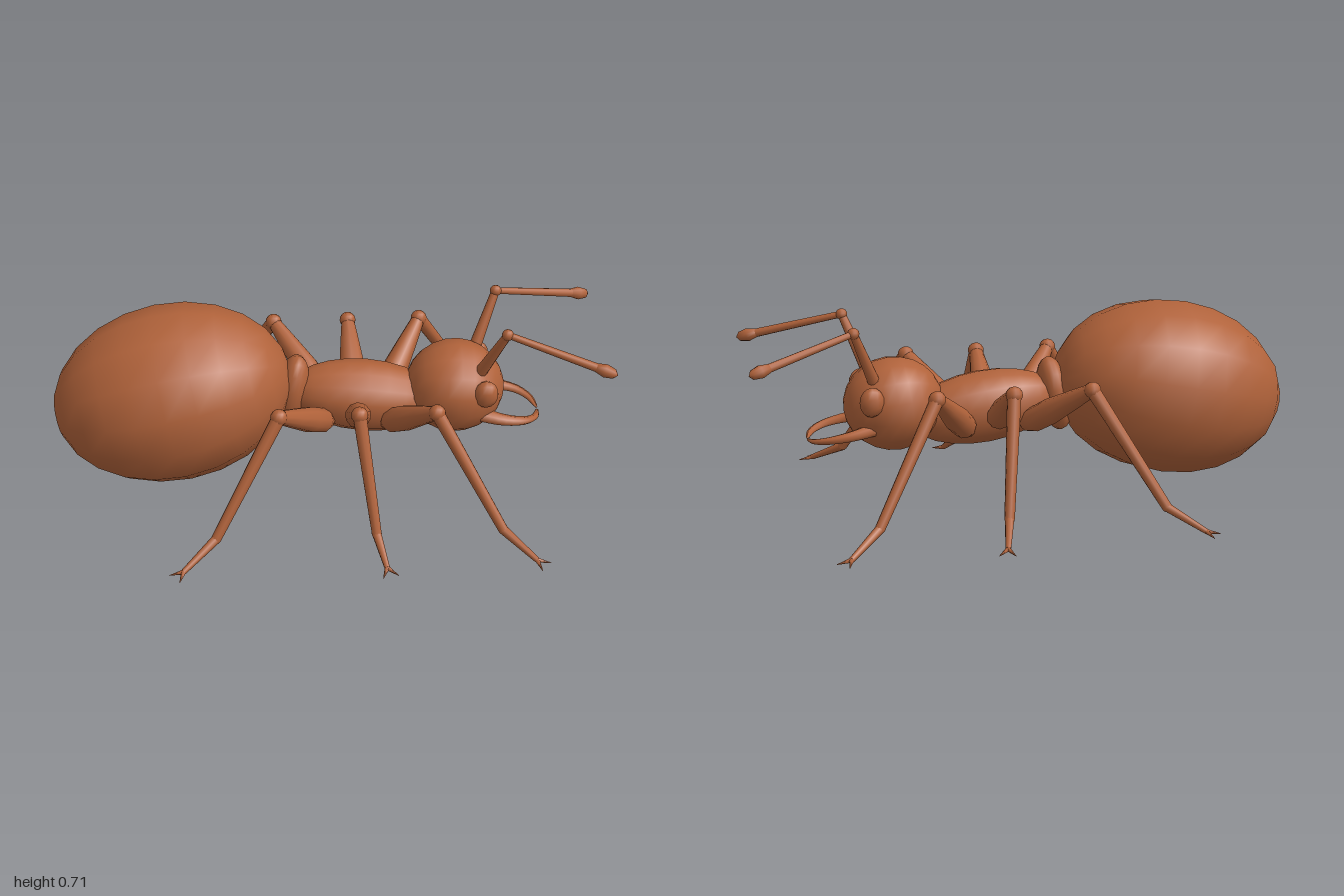
import * as THREE from 'three';

const brown = new THREE.MeshStandardMaterial({ color: 0xb0623a });
brown.name = 'chestnut brown';
const V = (x, y, z) => new THREE.Vector3(x, y, z);
const UP = V(0, 1, 0);

function add(parent, name, geometry) {
  const mesh = new THREE.Mesh(geometry, brown);
  mesh.name = name;
  parent.add(mesh);
  return mesh;
}

// Ellipsoid whose poles lie along x, pitched around z
function ellipsoid(parent, name, center, radii, pitch = 0, seg = 14, rows = 12) {
  const g = new THREE.SphereGeometry(1, seg, rows);
  g.rotateZ(-Math.PI / 2).scale(...radii).rotateZ(pitch);
  add(parent, name, g).position.copy(center);
}

// Tapered rod from a to b
function rod(parent, name, a, b, ra, rb, seg = 10) {
  const d = b.clone().sub(a);
  const m = add(parent, name, new THREE.CylinderGeometry(rb, ra, d.length(), seg));
  m.position.copy(a).addScaledVector(d, 0.5);
  m.quaternion.setFromUnitVectors(UP, d.normalize());
}

// Round profile along a line: pairs of [fraction of length, radius]
function bulb(parent, name, a, b, profile, seg = 10) {
  const d = b.clone().sub(a), len = d.length();
  const pts = profile.map(([t, r]) => new THREE.Vector2(r, t * len));
  const m = add(parent, name, new THREE.LatheGeometry(pts, seg));
  m.position.copy(a);
  m.quaternion.setFromUnitVectors(UP, d.normalize());
}

function leg(parent, name, s, [hip, knee, ankle, foot]) {
  const g = new THREE.Group();
  g.name = name;
  const [h, k, a, f] = [hip, knee, ankle, foot].map(p => V(p[0], p[1], p[2] * s));
  bulb(g, 'femur', h, k, [[0, 0], [0.03, 0.028], [0.15, 0.045], [0.4, 0.047], [0.7, 0.036], [1, 0.024]]);
  ellipsoid(g, 'knee', k, [0.03, 0.03, 0.03], 0, 10, 8);
  rod(g, 'tibia', k, a, 0.025, 0.018);
  ellipsoid(g, 'ankle', a, [0.018, 0.018, 0.018], 0, 8, 6);
  rod(g, 'tarsus', a, f, 0.017, 0.01, 8);
  // Pair of small claws splayed at the foot
  const dir = f.clone().sub(a).setY(0).normalize();
  for (const spread of [-0.6, 0.6]) {
    const tip = f.clone().addScaledVector(dir.clone().applyAxisAngle(UP, spread), 0.05);
    tip.y = 0.004;
    rod(g, 'claw', f, tip, 0.009, 0.001, 6);
  }
  parent.add(g);
}

// Flattened, tapering sickle swept along a curve
function mandible(parent, s) {
  const curve = new THREE.CatmullRomCurve3([
    V(0.54, 0.315, 0.1 * s), V(0.63, 0.3, 0.122 * s), V(0.71, 0.285, 0.108 * s),
    V(0.755, 0.273, 0.065 * s), V(0.772, 0.266, 0.012 * s)]);
  const n = 12, sides = 8;
  const g = new THREE.TubeGeometry(curve, n, 1, sides);
  const pos = g.attributes.position, p = V(0, 0, 0);
  for (let i = 0; i <= n; i++) {
    const c = curve.getPointAt(i / n);
    const t = i / n, r = 0.006 + 0.029 * Math.pow(1 - t, 0.8);
    for (let j = 0; j <= sides; j++) {
      const q = i * (sides + 1) + j;
      p.fromBufferAttribute(pos, q).sub(c).multiplyScalar(r);
      p.y *= 0.65;
      p.add(c);
      pos.setXYZ(q, p.x, p.y, p.z);
    }
  }
  g.computeVertexNormals();
  add(parent, 'mandible', g);
  ellipsoid(parent, 'mandibleTip', curve.getPointAt(1), [0.005, 0.004, 0.006], 0, 6, 4);
}

export function createModel() {
  const ant = new THREE.Group();
  ant.name = 'ant';

  // Body, from rear to front
  ellipsoid(ant, 'abdomen', V(-0.567, 0.382, 0), [0.437, 0.325, 0.325], 0.2);
  ellipsoid(ant, 'waist', V(-0.135, 0.38, 0), [0.06, 0.143, 0.085], -0.2);
  ellipsoid(ant, 'thorax', V(0.13, 0.348, 0), [0.28, 0.133, 0.13], -0.13);
  ellipsoid(ant, 'head', V(0.462, 0.38, 0), [0.18, 0.171, 0.175], -0.1);

  for (const s of [1, -1]) {
    ellipsoid(ant, 'eye', V(0.558, 0.425, 0.143 * s), [0.044, 0.054, 0.034], 0, 10, 8);
    mandible(ant, s);

    // Elbowed antenna with a club
    const antenna = new THREE.Group();
    antenna.name = 'antenna';
    const base = V(0.54, 0.48, 0.085 * s), elbow = V(0.62, 0.68, 0.16 * s), tip = V(0.95, 0.594, 0.277 * s);
    rod(antenna, 'scape', base, elbow, 0.023, 0.015);
    ellipsoid(antenna, 'elbow', elbow, [0.021, 0.021, 0.021], 0, 10, 8);
    rod(antenna, 'flagellum', elbow, tip, 0.012, 0.016);
    bulb(antenna, 'club', V(0.908, 0.605, 0.262 * s), V(0.992, 0.583, 0.292 * s),
      [[0, 0], [0.15, 0.016], [0.5, 0.024], [0.85, 0.017], [1, 0]]);
    ant.add(antenna);

    // Three legs on each side
    leg(ant, 'rearLeg', s, [[0, 0.29, 0.08], [-0.19, 0.475, 0.33], [-0.42, 0.08, 0.49], [-0.535, 0.014, 0.585]]);
    leg(ant, 'middleLeg', s, [[0.1, 0.31, 0.08], [0.09, 0.475, 0.33], [0.143, 0.08, 0.49], [0.172, 0.014, 0.6]]);
    leg(ant, 'frontLeg', s, [[0.2, 0.28, 0.08], [0.36, 0.475, 0.33], [0.59, 0.08, 0.49], [0.7, 0.014, 0.585]]);
  }
  return ant;
}
